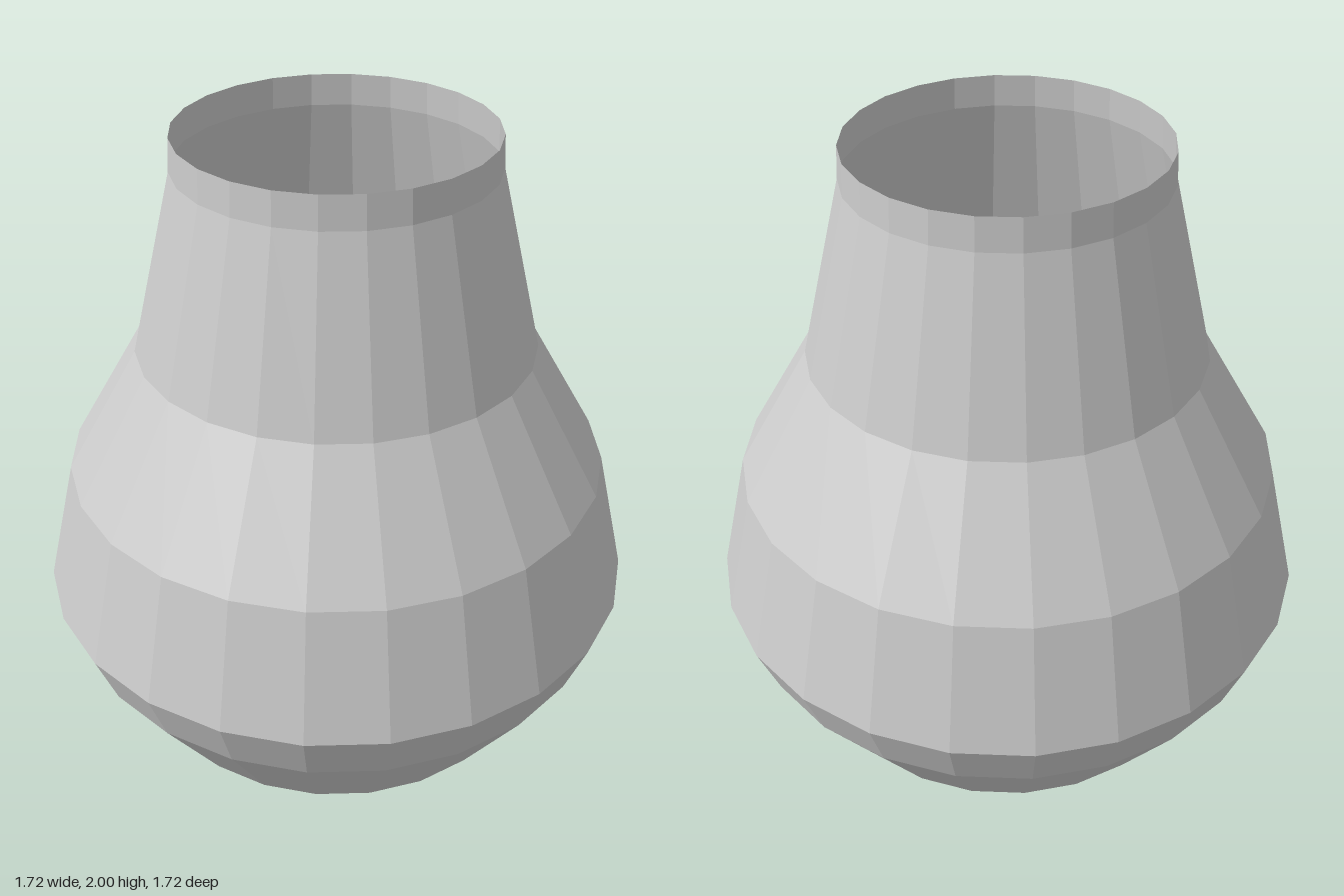
import * as THREE from 'three';

const SIDES = 24;

// Radius and height of each ring, from the foot up to the rim
const PROFILE = [
  [0.215, 0], [0.6, 0.21], [0.8, 0.51], [0.86, 0.67],
  [0.77, 1.04], [0.56, 1.4], [0.435, 1.91], [0.43, 2],
];

export function createModel() {
  const group = new THREE.Group();
  group.name = 'vase';
  const material = new THREE.MeshStandardMaterial({
    color: 0xcccccc, flatShading: true, side: THREE.DoubleSide,
  });

  // Thin open wall
  const points = PROFILE.map(([r, y]) => new THREE.Vector2(r, y));
  const wall = new THREE.Mesh(new THREE.LatheGeometry(points, SIDES), material);
  wall.name = 'wall';

  // Flat bottom disc closing the foot
  const disc = new THREE.CircleGeometry(PROFILE[0][0], SIDES);
  disc.rotateX(Math.PI / 2);
  const base = new THREE.Mesh(disc, material);
  base.name = 'base';

  group.add(wall, base);
  return group;
}
